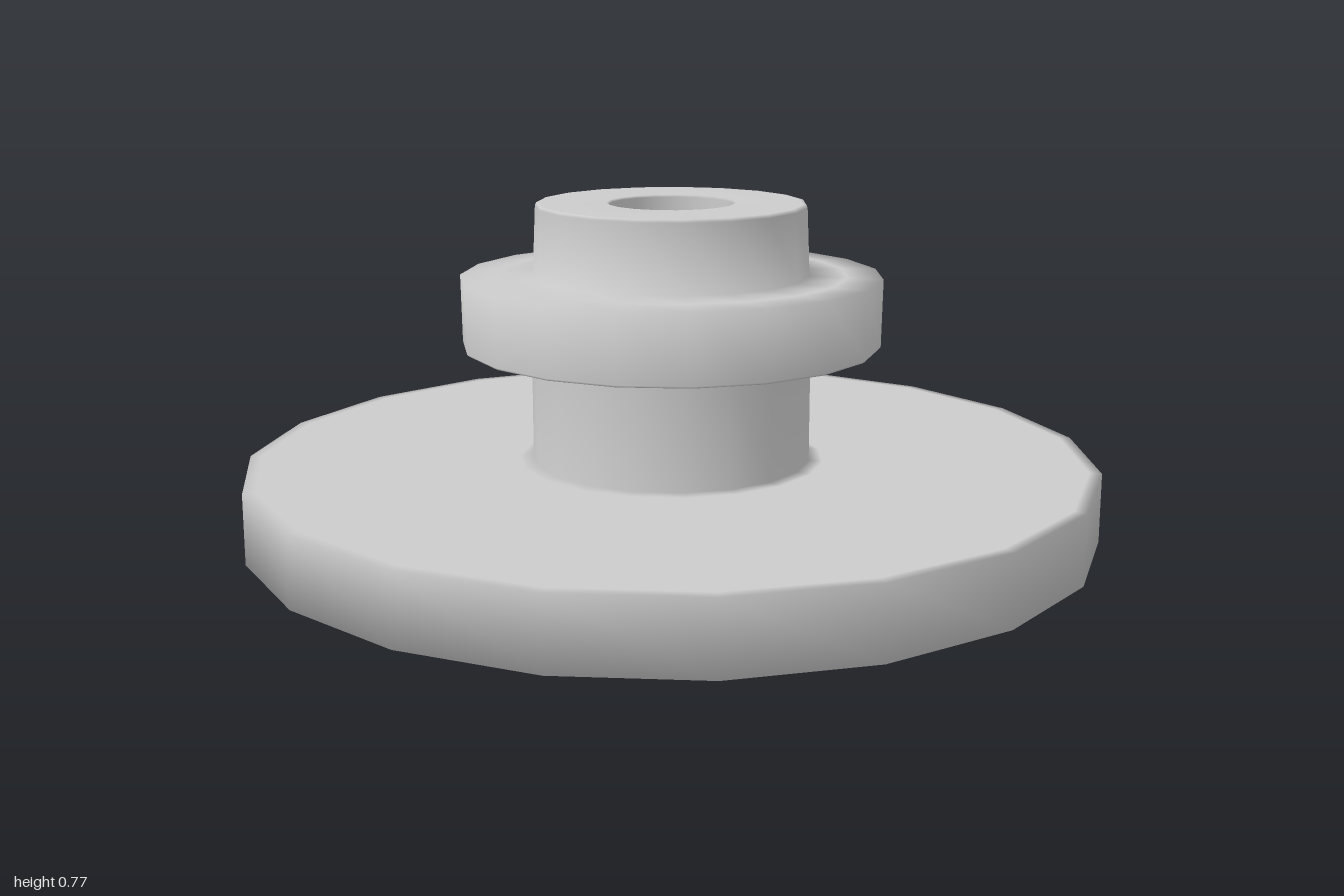
import * as THREE from 'three';

const SIDES = 19;
const BORE = 0.145;

export function createModel() {
  const model = new THREE.Group();
  model.name = 'flangedHub';
  const material = new THREE.MeshStandardMaterial({ color: 0xcccccc });

  // One closed profile, [radius, height], from the bore's lower rim outwards, up and back down the bore
  const profile = [
    // underside of the base disc
    [BORE, 0], [0.2, 0], [0.85, 0],
    // base disc rim and top
    [1.003, 0.002], [1.003, 0.165], [0.975, 0.166], [0.36, 0.166],
    // lower hub
    [0.328, 0.168], [0.328, 0.435],
    // collar
    [0.332, 0.44], [0.485, 0.44], [0.49, 0.445], [0.493, 0.603], [0.41, 0.605],
    // upper hub
    [0.323, 0.607], [0.316, 0.765], [0.313, 0.772], [0.306, 0.772],
    // bore
    [BORE + 0.005, 0.772], [BORE, 0.767], [BORE, 0],
  ].map(([r, y]) => new THREE.Vector2(r, y));

  // A corner points to the back, a flat side to the front
  const geometry = new THREE.LatheGeometry(profile, SIDES, Math.PI);
  const body = new THREE.Mesh(geometry, material);
  body.name = 'discHubAndCollar';
  body.position.z = 0.007; // centres the odd-sided outline
  model.add(body);
  return model;
}
